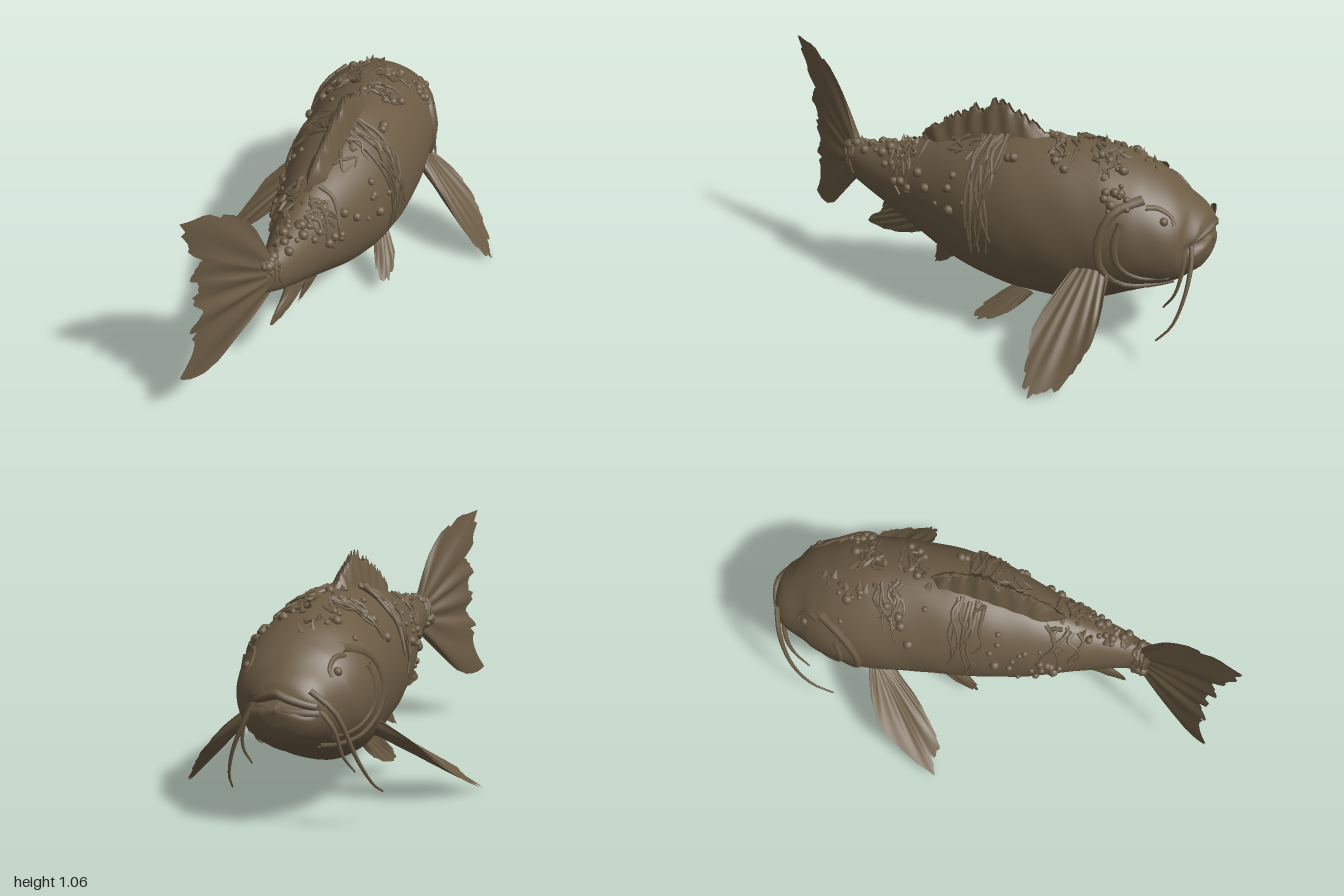
import * as THREE from 'three';

const V = (p) => new THREE.Vector3(...p);
const spline = (pts) => new THREE.CatmullRomCurve3(pts.map((p) => (p.isVector3 ? p : V(p))));
const skin = new THREE.MeshStandardMaterial({ color: 0x6b5b44, side: THREE.DoubleSide });
skin.name = 'muddy brown skin';

let seed = 7;
const rand = () => ((seed = (seed * 16807) % 2147483647) / 2147483647);
const jitter = (r) => (rand() * 2 - 1) * r;
const rad = (d) => (d * Math.PI) / 180;

// Body stations from tail to snout: x, z, top y, bottom y, half width
const stations = [
  [-0.6, 0.415, 0.66, 0.51, 0.045], [-0.5, 0.4, 0.675, 0.47, 0.07], [-0.3, 0.32, 0.72, 0.37, 0.13],
  [-0.1, 0.23, 0.79, 0.26, 0.2], [0.08, 0.155, 0.84, 0.2, 0.25], [0.25, 0.075, 0.87, 0.17, 0.275],
  [0.405, -0.01, 0.87, 0.165, 0.285], [0.55, -0.105, 0.855, 0.19, 0.293], [0.68, -0.18, 0.81, 0.25, 0.28],
  [0.78, -0.235, 0.75, 0.3, 0.243], [0.86, -0.282, 0.68, 0.35, 0.185], [0.915, -0.305, 0.625, 0.395, 0.13],
  [0.94, -0.315, 0.57, 0.45, 0.07], [0.945, -0.317, 0.525, 0.505, 0.008],
];
const spine = spline(stations.map((s) => [s[0], 0, s[1]]));
const girth = spline(stations.map((s) => [s[2], s[3], s[4]]));

// Point on the skin: t runs tail to snout, a is 0 on the left, 90 on the back
function onBody(t, a, k = 1) {
  t = Math.min(1, Math.max(0, t));
  const c = spine.getPoint(t), g = girth.getPoint(t), d = spine.getTangent(t);
  const ca = Math.cos(rad(a)), sa = Math.sin(rad(a));
  const side = Math.sign(ca) * Math.abs(ca) ** (0.92 + 0.2 * Math.max(0, sa)) * g.z * k;
  const y = (g.x + g.y) / 2 + ((g.x - g.y) / 2) * sa * k;
  const head = THREE.MathUtils.smoothstep(t, 0.78, 0.88);
  const groove = head * 0.045 * Math.exp(-(((y - 0.555 + Math.abs(side) * 0.25) / 0.018) ** 2));
  return new THREE.Vector3(c.x - d.z * side - d.x * groove, y, c.z + d.x * side - d.z * groove);
}

// Indexed surface from a rule f(i, j)
function grid(n, m, f, closed = false) {
  const pos = [], idx = [], cols = closed ? m : m + 1;
  for (let i = 0; i <= n; i++) for (let j = 0; j < cols; j++) pos.push(...f(i, j).toArray());
  for (let i = 0; i < n; i++) for (let j = 0; j < m; j++) {
    const a = i * cols + j, b = i * cols + ((j + 1) % cols), c = a + cols, d = b + cols;
    idx.push(a, c, d, a, d, b);
  }
  const geo = new THREE.BufferGeometry();
  geo.setAttribute('position', new THREE.Float32BufferAttribute(pos, 3));
  geo.setIndex(idx);
  geo.computeVertexNormals();
  return geo;
}

export function createModel() {
  const model = new THREE.Group();
  const add = (geo, name, parent = model) => {
    const mesh = new THREE.Mesh(geo, skin);
    mesh.name = name;
    parent.add(mesh);
    return mesh;
  };
  const group = (name) => {
    const g = new THREE.Group();
    g.name = name;
    model.add(g);
    return g;
  };

  // Tapering tube along a path
  function strand(pts, r0, r1, name, parent) {
    const path = spline(pts), n = 14, sides = 6;
    const geo = new THREE.TubeGeometry(path, n, 1, sides);
    const p = geo.attributes.position, v = new THREE.Vector3();
    for (let i = 0; i < p.count; i++) {
      const u = Math.floor(i / (sides + 1)) / n, c = path.getPointAt(u);
      v.fromBufferAttribute(p, i).sub(c).multiplyScalar(r0 + (r1 - r0) * u).add(c);
      p.setXYZ(i, v.x, v.y, v.z);
    }
    return add(geo, name, parent);
  }

  // Ribbed ragged fin stretched between a root line and an outer edge
  function fin(name, root, edge, thick, jag, cols = 44) {
    const rc = spline(root), ec = spline(edge), g = group(name), rows = 8;
    const nrm = ec.getPoint(0.2).sub(rc.getPoint(0.5)).cross(ec.getPoint(0.8).sub(rc.getPoint(0.5))).normalize();
    const cut = Array.from({ length: cols + 1 }, (_, i) => 1 - jag * (rand() ** 2 + (i % 6 === 0 ? 0.6 : 0)));
    for (const s of [-1, 1]) add(grid(cols, rows, (i, j) => {
      const u = i / cols, v = j / rows, a = rc.getPoint(u);
      const p = a.clone().lerp(ec.getPoint(u), v * (1 + (cut[i] - 1) * v ** 3));
      const rim = Math.min(1, Math.sin(Math.PI * u) * 3);
      const rib = Math.sin(u * 44) * 0.005 * Math.sin(Math.PI * v);
      return p.addScaledVector(nrm, s * thick * (1 - v * 0.85) * rim + rib);
    }), s < 0 ? 'fin back' : 'fin front', g);
  }

  // Body with a mouth groove
  add(grid(110, 56, (i, j) => {
    const t = i / 110, a = (j / 56) * 360;
    const lump = 1 + 0.007 * Math.sin(t * 41 + a * 0.07) * Math.sin(rad(a * 3) + t * 23);
    return onBody(t, a, lump);
  }, true), 'body');

  // Fins
  fin('tail fin', [[-0.54, 0.67, 0.41], [-0.55, 0.58, 0.41], [-0.54, 0.49, 0.41]], [
    [-0.57, 0.71, 0.41], [-0.62, 0.85, 0.42], [-0.72, 0.97, 0.425], [-0.83, 1.03, 0.425], [-0.98, 1.06, 0.425],
    [-0.95, 0.92, 0.41], [-0.9, 0.82, 0.41], [-0.95, 0.77, 0.4], [-0.89, 0.7, 0.4], [-0.93, 0.63, 0.39],
    [-0.89, 0.55, 0.4], [-0.94, 0.48, 0.385], [-0.92, 0.4, 0.385], [-0.99, 0.25, 0.37], [-0.87, 0.225, 0.385],
    [-0.75, 0.31, 0.4], [-0.65, 0.42, 0.41], [-0.57, 0.48, 0.41]], 0.02, 0.07, 72);
  const ridge = [0.19, 0.23, 0.27, 0.31, 0.35, 0.39, 0.43];
  const rise = [0.04, 0.09, 0.12, 0.16, 0.14, 0.075, 0.01];
  fin('dorsal fin', ridge.map((t) => onBody(t, 90, 0.93)),
    ridge.map((t, i) => onBody(t - 0.01, 90).add(V([0, rise[i], 0]))), 0.05, 0.3, 50);
  fin('left pectoral fin', [[0.62, 0.46, 0.1], [0.68, 0.45, 0.09], [0.74, 0.41, 0.05]], [
    [0.625, 0.39, 0.2], [0.63, 0.3, 0.32], [0.64, 0.2, 0.41], [0.68, 0.1, 0.47], [0.74, 0.01, 0.53],
    [0.79, 0, 0.5], [0.84, 0.05, 0.42], [0.86, 0.14, 0.34], [0.86, 0.22, 0.27], [0.81, 0.34, 0.17],
    [0.75, 0.4, 0.1]], 0.022, 0.06);
  fin('right pectoral fin', [[0.43, 0.39, -0.3], [0.4, 0.34, -0.28], [0.34, 0.3, -0.23]], [
    [0.4, 0.37, -0.35], [0.32, 0.29, -0.43], [0.22, 0.19, -0.49], [0.06, 0.08, -0.49], [-0.07, 0.01, -0.475],
    [-0.03, 0.05, -0.42], [-0.02, 0.09, -0.36], [0.08, 0.16, -0.31], [0.2, 0.24, -0.27], [0.31, 0.29, -0.25]], 0.022, 0.06);
  fin('left pelvic fin', [[0.38, 0.2, 0.17], [0.28, 0.2, 0.2]], [
    [0.37, 0.17, 0.22], [0.33, 0.11, 0.29], [0.21, 0.06, 0.36], [0.19, 0.09, 0.32], [0.24, 0.16, 0.24]], 0.016, 0.12, 24);
  fin('right pelvic fin', [[0.26, 0.2, -0.06], [0.15, 0.21, -0.03]], [
    [0.24, 0.16, -0.07], [0.18, 0.1, -0.07], [0.03, 0.06, -0.03], [0.02, 0.09, -0.02], [0.11, 0.18, -0.02]], 0.016, 0.12, 24);
  fin('front anal fin', [[-0.06, 0.28, 0.21], [-0.17, 0.31, 0.25]], [
    [-0.07, 0.23, 0.21], [-0.13, 0.17, 0.22], [-0.23, 0.11, 0.23], [-0.21, 0.17, 0.24], [-0.18, 0.26, 0.25]], 0.016, 0.12, 24);
  fin('rear anal fin', [[-0.2, 0.34, 0.28], [-0.4, 0.43, 0.36]], [
    [-0.22, 0.3, 0.28], [-0.32, 0.26, 0.32], [-0.5, 0.25, 0.38], [-0.53, 0.28, 0.39], [-0.45, 0.34, 0.37], [-0.42, 0.4, 0.37]],
  0.016, 0.1, 30);

  // Lips
  const lip = (name, y, drop, out, r) => strand([-0.14, -0.1, -0.04, 0, 0.04, 0.1, 0.14].map((s) => {
    const back = (s / 0.14) ** 2 * 0.055;
    return [0.94 + out - back + s * 0.35, y - Math.abs(s) * drop, -0.318 + s * 0.93 + back * 0.35];
  }), r, r, name);
  lip('upper lip', 0.585, 0.35, -0.005, 0.018);
  lip('lower lip', 0.515, 0.05, -0.018, 0.02);

  // Barbels
  const barbels = group('barbels');
  [
    [[0.92, 0.57, -0.2], [0.965, 0.47, -0.17], [0.99, 0.33, -0.11], [0.975, 0.21, -0.06], [0.93, 0.14, -0.02]],
    [[0.92, 0.54, -0.18], [0.95, 0.45, -0.14], [0.94, 0.33, -0.11], [0.89, 0.25, -0.1]],
    [[0.85, 0.6, -0.42], [0.79, 0.52, -0.49], [0.71, 0.32, -0.53], [0.62, 0.2, -0.52], [0.53, 0.14, -0.48]],
    [[0.83, 0.55, -0.41], [0.78, 0.45, -0.47], [0.74, 0.33, -0.48], [0.67, 0.25, -0.47]],
  ].forEach((p) => strand(p, 0.013, 0.004, 'barbel', barbels));

  // Gill covers, jaw folds and eyes, mirrored across the body
  for (const mirror of [(a) => a, (a) => 180 - a]) {
    const fold = (pts, r, name) => strand(pts.map(([t, a]) => onBody(t, mirror(a), 0.985)), r, r * 0.6, name);
    fold([[0.64, 48], [0.58, 30], [0.555, 8], [0.56, -15], [0.6, -36], [0.67, -50], [0.73, -58]], 0.024, 'gill cover');
    fold([[0.6, 24], [0.59, 5], [0.6, -14], [0.645, -30], [0.72, -42]], 0.018, 'gill fold');
    fold([[0.65, 42], [0.68, 46], [0.72, 42], [0.73, 34]], 0.014, 'brow');
    const eye = add(new THREE.SphereGeometry(0.02, 14, 10), 'eye');
    eye.position.copy(onBody(0.7, mirror(35), 0.96));
  }

  // Ragged scutes along the back
  const scutes = group('back scutes');
  for (let i = 0; i < 34; i++) {
    const t = i < 18 ? 0.01 + i * 0.012 : 0.42 + (i - 18) * 0.015, h = 0.035 + rand() * 0.03;
    const cone = add(new THREE.ConeGeometry(0.02, h, 6), 'scute', scutes);
    cone.position.copy(onBody(t, 90 + jitter(20), 1.02));
    cone.rotation.set(jitter(0.4), rand() * 3, 0.4 + jitter(0.4));
  }

  // Hanging weed: t, upper angle, lower angle, strands
  const weeds = group('hanging weed');
  [[0.335, 78, -28, 12], [0.17, 75, -5, 9], [0.54, 85, 45, 8], [0.45, 85, 35, 5], [0.28, 85, 50, 5],
    [0.34, 105, 200, 10], [0.18, 105, 175, 7], [0.49, 100, 150, 8], [0.03, 80, -60, 5], [0.03, 100, 240, 5],
  ].forEach(([t, from, to, n]) => {
    for (let k = 0; k < n; k++) {
      const t0 = t + jitter(0.025), end = from + (to - from) * (0.45 + rand() * 0.55);
      strand([0, 0.25, 0.5, 0.75, 1].map((u) =>
        onBody(t0 + jitter(0.012), from + (end - from) * u + jitter(4), 1.01 + rand() * 0.035)),
      0.011, 0.004, 'weed strand', weeds);
    }
  });

  // Warts in clusters: t, angle, spread, count
  const warts = group('warts');
  [[0.58, 38, 0.03, 9], [0.56, 60, 0.04, 8], [0.28, 25, 0.05, 6], [0.18, 20, 0.05, 8], [0.13, 50, 0.05, 9],
    [0.42, 70, 0.06, 8], [0.25, 150, 0.06, 12], [0.2, 185, 0.05, 7], [0.45, 130, 0.06, 9], [0.58, 125, 0.04, 7],
    [0.02, 60, 0.02, 9], [0.02, 200, 0.02, 9], [0.1, 95, 0.06, 8],
  ].forEach(([t, a, spread, n]) => {
    for (let k = 0; k < n; k++) {
      const wart = add(new THREE.SphereGeometry(0.011 + rand() * 0.013, 10, 8), 'wart', warts);
      wart.position.copy(onBody(t + jitter(spread), a + jitter(spread * 400), 1));
    }
  });
  return model;
}
